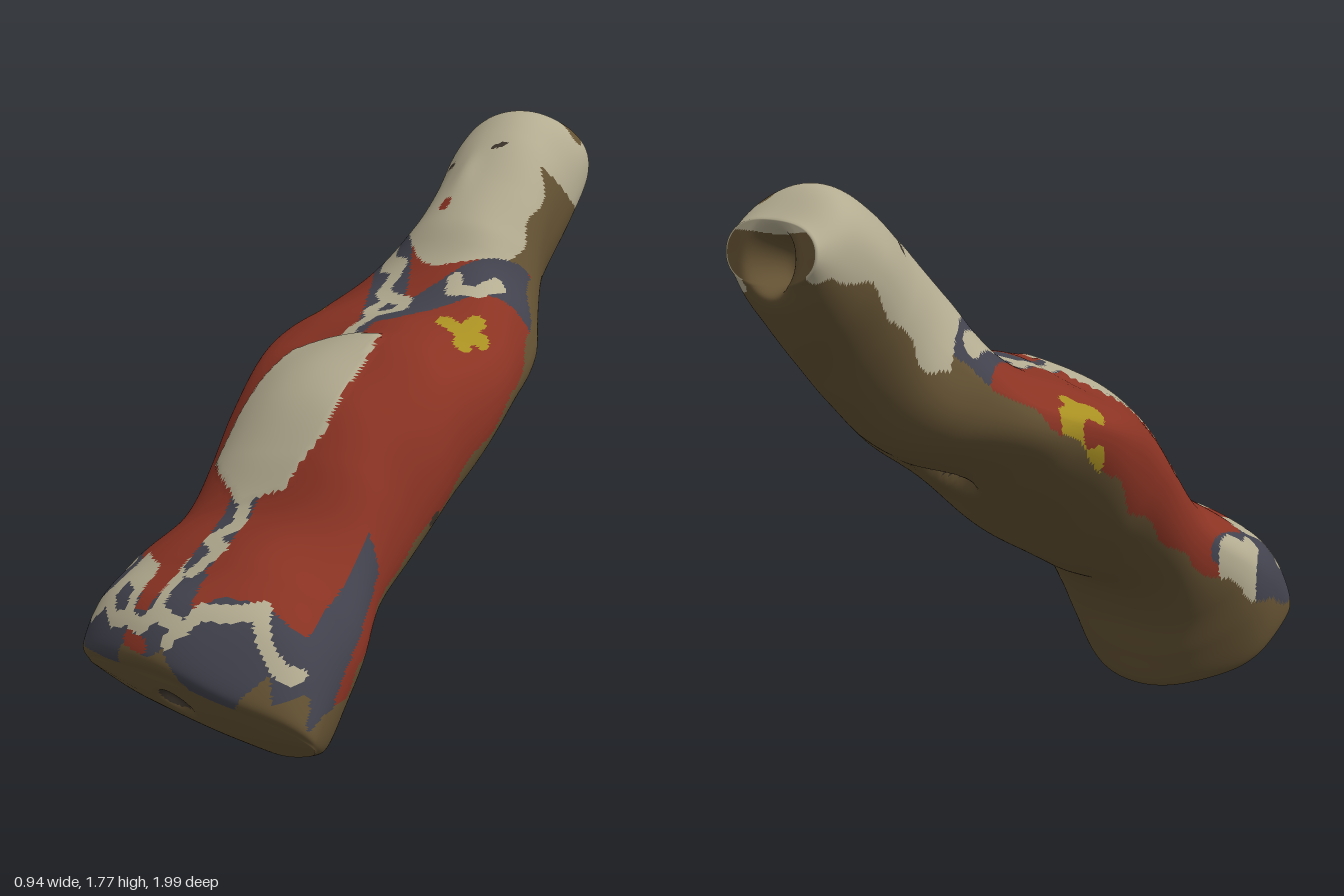
import * as THREE from 'three';

// Cross-sections from foot to crown: front z,y | back z,y | min x, max x, height of widest point
const SECTIONS = [
  [0.96, 0.38, 0.68, 0.03, -0.45, 0.39, 0.68],
  [1.00, 0.47, 0.59, 0.01, -0.47, 0.405, 0.65],
  [0.91, 0.63, 0.54, 0.13, -0.465, 0.41, 0.58],
  [0.77, 0.71, 0.50, 0.27, -0.43, 0.41, 0.53],
  [0.59, 0.81, 0.40, 0.40, -0.37, 0.38, 0.5],
  [0.47, 0.97, 0.22, 0.50, -0.36, 0.39, 0.5],
  [0.34, 1.11, 0.02, 0.60, -0.38, 0.43, 0.5],
  [0.17, 1.21, -0.18, 0.75, -0.41, 0.46, 0.5],
  [-0.02, 1.24, -0.35, 0.87, -0.41, 0.465, 0.5],
  [-0.19, 1.28, -0.49, 0.95, -0.37, 0.425, 0.5],
  [-0.33, 1.36, -0.61, 1.02, -0.26, 0.365, 0.5],
  [-0.42, 1.48, -0.72, 1.13, -0.16, 0.335, 0.5],
  [-0.54, 1.60, -0.81, 1.24, -0.13, 0.33, 0.5],
  [-0.68, 1.71, -0.90, 1.34, -0.125, 0.33, 0.5],
  [-0.83, 1.77, -0.96, 1.41, -0.11, 0.325, 0.5],
  [-0.97, 1.68, -0.99, 1.48, -0.08, 0.29, 0.5],
];
const LAST = SECTIONS.length - 1;
const curve = (f) => new THREE.CatmullRomCurve3(SECTIONS.map(f), false, 'catmullrom', 0.5);
const frontLine = curve((s) => new THREE.Vector3(0, s[1], s[0]));
const backLine = curve((s) => new THREE.Vector3(0, s[3], s[2]));
const widths = curve((s) => new THREE.Vector3(s[4], s[5], s[6]));

// Hollows: centre, inward direction, radius, depth, dark inside or not
const HOLLOWS = [
  [[0.05, 0.87, -0.36], [0, 0.75, 0.65], 0.08, 0.11, true],
  [[-0.10, 0.26, 0.885], [0, 0.6, -0.8], 0.055, 0.03, true],
  [[0.11, 1.56, -0.985], [0, -0.1, 1], 0.08, 0.12, false],
].map(([c, d, r, depth, dark]) => ({ c: new THREE.Vector3(...c), d: new THREE.Vector3(...d), r, depth, dark }));

// Painted shapes on the upper body, as x,z pairs seen from above
const APRON = [[-0.2, 0.12], [-0.1, 0.08], [0.12, 0.09], [0.14, 0.2], [0.13, 0.42], [0.06, 0.53],
  [-0.1, 0.56], [-0.23, 0.48], [-0.28, 0.43], [-0.24, 0.25]];
const COLLAR = [[[-0.2, -0.53], [-0.09, -0.3], [0, -0.1]], [[0.38, -0.42], [0.22, -0.28], [0.05, -0.08]]];
const SCROLLS = [
  [[-0.17, -0.47], [-0.14, -0.36], [-0.07, -0.33], [-0.08, -0.24], [-0.03, -0.2], [-0.06, -0.13], [-0.01, -0.07], [-0.03, 0.02], [-0.02, 0.1]],
  [[-0.03, -0.2], [0.04, -0.18], [0.06, -0.12], [0, -0.08]],
  [[0.3, -0.33], [0.27, -0.25], [0.19, -0.23], [0.17, -0.28]],
  [[-0.07, 0.56], [-0.05, 0.62], [-0.11, 0.67], [-0.04, 0.72], [-0.08, 0.8]],
  [[-0.38, 0.42], [-0.41, 0.52], [-0.4, 0.6], [-0.43, 0.66], [-0.4, 0.72]],
];
const FLOWERS = [
  [[-0.38, -0.28], [-0.36, -0.2], [-0.38, -0.15]], [[-0.36, -0.2], [-0.33, -0.22]],
  [[0.25, -0.08], [0.31, -0.07], [0.37, -0.09]], [[0.33, -0.14], [0.32, -0.07], [0.34, -0.03]],
];
const EYES = [[[-0.065, -0.64], [-0.04, -0.625]], [[0.11, -0.63], [0.145, -0.645]]];

// Hem details, as x,y pairs seen from the front
const HEM_SCROLLS = [
  [[-0.42, 0.46], [-0.35, 0.54], [-0.28, 0.51], [-0.22, 0.54], [-0.15, 0.54], [-0.11, 0.59], [0, 0.575],
    [0.03, 0.62], [0.13, 0.63], [0.2, 0.645], [0.24, 0.575], [0.29, 0.515], [0.34, 0.49]],
  [[-0.35, 0.54], [-0.32, 0.6], [-0.24, 0.61], [-0.22, 0.54]], [[-0.11, 0.59], [-0.12, 0.66]],
  [[-0.02, 0.575], [-0.04, 0.53]],
];
const HEM_TOP = [[-0.47, 0.6], [-0.3, 0.6], [-0.21, 0.6], [-0.2, 0.57], [-0.15, 0.58], [-0.12, 0.68], [-0.02, 0.68],
  [0, 0.62], [0.07, 0.66], [0.2, 0.66], [0.27, 0.62], [0.33, 0.58], [0.34, 0.7], [0.42, 0.72]];
const HEM_BOTTOM = [[-0.47, 0.42], [-0.42, 0.36], [-0.25, 0.38], [-0.21, 0.48], [-0.1, 0.47], [-0.05, 0.51], [0, 0.45],
  [0.02, 0.38], [0.18, 0.37], [0.23, 0.45], [0.28, 0.5], [0.3, 0.42], [0.36, 0.44], [0.42, 0.45]];

function near(x, z, line, r) {
  for (let i = 0; i + 1 < line.length; i++) {
    const [ax, az] = line[i], dx = line[i + 1][0] - ax, dz = line[i + 1][1] - az;
    const t = THREE.MathUtils.clamp(((x - ax) * dx + (z - az) * dz) / (dx * dx + dz * dz), 0, 1);
    if (Math.hypot(x - ax - t * dx, z - az - t * dz) < r) return true;
  }
  return false;
}

function inside(x, z, poly) {
  let hit = false;
  poly.forEach(([ax, az], i) => {
    const [bx, bz] = poly[(i + 1) % poly.length];
    if ((az > z) !== (bz > z) && x < ax + ((z - az) / (bz - az)) * (bx - ax)) hit = !hit;
  });
  return hit;
}

// Piecewise-linear lookup
function ramp(t, pts) {
  for (let i = 0; i + 1 < pts.length; i++) {
    const [a, av] = pts[i], [b, bv] = pts[i + 1];
    if (t <= b) return av + (bv - av) * THREE.MathUtils.clamp((t - a) / (b - a), 0, 1);
  }
  return pts[pts.length - 1][1];
}

// Which painted part a spot belongs to: s along the body, v from back (0) to front (1), k < 1 on end caps
function partAt({ x, y, z }, s, v, k, sunk) {
  if (sunk) return 'hollows';
  if (Math.hypot(x - 0.1, z - 0.25) < 0.022 && v < 0.3) return 'hollows';
  if (x > 0.3 && Math.hypot(y - 0.74, z - 0.24) < 0.025) return 'hollows';
  if (k < 0.999) return s > 1 && v > 0.8 ? 'head' : 'bareClay';

  const wobble = 0.025 * Math.sin(s * 5 + x * 3);
  const collarEdge = -0.32 - (x < 0.07 ? 4 : 2.2) * (x - 0.07) ** 2;
  if (z < collarEdge && s > 9.6) {
    const limit = x > 0.1
      ? ramp(s, [[10, 0.85], [11, 0.75], [12.2, 0.76], [12.6, 0.83], [12.85, 0.42], [13.2, 0.2], [14.5, 0.1]])
      : ramp(s, [[10, 0.55], [11, 0.33], [13, 0.4], [14.5, 0.2]]);
    if (v < limit + wobble) return 'bareClay';
    if (v > 0.5 && Math.hypot(x - 0.02, z + 0.465) < 0.018) return 'mouth';
    if (v > 0.5 && EYES.some((l) => near(x, z, l, 0.007))) return 'eyes';
    if (near(x, z, [[0.23, -0.88], [0.29, -0.87]], 0.025)) return 'bareClay';
    return 'head';
  }
  const limit = x > 0
    ? ramp(s, [[0, 0.92], [0.5, 0.86], [1, 0.72], [2, 0.47], [4, 0.4], [7, 0.44], [8.5, 0.53], [10, 0.63]])
    : ramp(s, [[0, 0.92], [0.5, 0.86], [1, 0.72], [2, 0.45], [4, 0.28], [7, 0.3], [8.5, 0.4], [10, 0.52]]);
  if (v < limit + wobble) return 'bareClay';
  if (inside(x, z, APRON)) return 'apron';
  if (FLOWERS.some((f) => near(x, z, f, 0.028))) return 'flowers';
  if (SCROLLS.some((l) => near(x, z, l, 0.025))) return 'scrolls';
  if (COLLAR.some((l) => near(x, z, l, 0.068))) return 'trim';
  if (near(x, z, [[0, -0.1], [-0.01, 0.07]], 0.045)) return 'trim';
  if (near(x, z, [[-0.08, 0.56], [-0.08, 0.76]], 0.052)) return 'trim';
  if (s < 3.2) {
    if (HEM_SCROLLS.some((l) => near(x, y, l, 0.02))) return 'scrolls';
    if (near(x, y, [[-0.19, 0.495], [-0.13, 0.495]], 0.022)) return 'robe';
    if (y < ramp(x, HEM_BOTTOM) && v > 0.75 && s < 1.5) return 'bareClay';
    if (y < ramp(x, HEM_TOP) && v > 0.6) return 'trim';
  }
  if (x > 0.34 && z > 0.5 && v > 0.58) return 'trim';
  if (x < -0.37 && z > 0.45 && v > 0.4) return 'trim';
  return 'robe';
}

export function createModel() {
  const COLS = 180, CAP = 30, BODY = 250, ROWS = CAP * 2 + BODY;
  const positions = [], info = [];
  const f = new THREE.Vector3(), b = new THREE.Vector3(), w = new THREE.Vector3();
  const p = new THREE.Vector3();

  // Skin of the figure: slightly domed foot, leaning body, blunt crown
  for (let i = 0; i <= ROWS; i++) {
    const t = THREE.MathUtils.clamp((i - CAP) / BODY, 0, 1), s = t * LAST;
    const k = Math.min(1, i / CAP, (ROWS - i) / CAP);
    const dome = i < CAP ? 0.03 * (1 - k * k) : 0;
    const tilt = ramp(s, [[1.5, 0], [4, 0.22], [10.5, 0.22], [12, 0.1], [14, 0.06], [15, 0]]);
    frontLine.getPoint(t, f); backLine.getPoint(t, b); widths.getPoint(t, w);
    const cx = (w.x + w.y) / 2, half = (w.y - w.x) / 2;
    for (let j = 0; j < COLS; j++) {
      const a = (j / COLS) * Math.PI * 2, c = Math.cos(a), n = Math.sin(a);
      // Round section, drawn to a blunt point under the foot
      const power = ramp(s, [[0, 1.12], [3, 0.95]]);
      const px = Math.sign(c) * Math.abs(c) ** power, pv = Math.sign(n) * Math.abs(n) ** power;
      const v = 0.5 + k * (w.z + pv * (pv > 0 ? 1 - w.z : w.z) - 0.5);
      p.lerpVectors(b, f, v);
      p.x = cx + k * half * px;
      p.y -= 0.78 * dome; p.z += 0.62 * dome;
      // Worn, hand-modelled unevenness
      const lump = 0.006 * k * (Math.sin(p.x * 13 + p.z * 9) + Math.sin(p.z * 17 - p.x * 7 + n * 2));
      p.y += lump * n; p.x += lump * c;
      // Front slumps to one side; ledge above the apron, and a small nose
      if (n > 0) {
        p.y += tilt * (p.x - 0.1) * n;
        if (inside(p.x, p.z, APRON)) p.y += 0.006;
        p.y -= 0.008 * Math.exp(-(((p.z - 0.05) / 0.03) ** 2) - ((p.x / 0.2) ** 2));
        p.y += 0.012 * Math.exp(-(((p.z + 0.55) / 0.06) ** 2) - (((p.x - 0.04) / 0.04) ** 2));
      }
      let sunk = false;
      for (const h of HOLLOWS) {
        const pull = Math.exp(-((p.distanceTo(h.c) / h.r) ** 4));
        if (h.dark && pull > 0.35) sunk = true;
        p.addScaledVector(h.d, h.depth * pull);
      }
      positions.push(p.x, Math.max(0, p.y), p.z);
      info.push([s, v, k, sunk]);
    }
  }

  // Sort the faces into painted parts
  const parts = {};
  const centre = new THREE.Vector3(), corner = new THREE.Vector3();
  const addFace = (...ids) => {
    centre.set(0, 0, 0);
    for (const id of ids) centre.add(corner.fromArray(positions, id * 3));
    const name = partAt(centre.divideScalar(3), ...info[ids[0]]);
    (parts[name] ??= []).push(...ids);
  };
  const index = [];
  for (let i = 0; i < ROWS; i++) {
    for (let j = 0; j < COLS; j++) {
      const a = i * COLS + j, d = i * COLS + ((j + 1) % COLS);
      for (const tri of [[a, a + COLS, d], [d, a + COLS, d + COLS]]) { addFace(...tri); index.push(...tri); }
    }
  }
  const skin = new THREE.BufferGeometry();
  skin.setAttribute('position', new THREE.Float32BufferAttribute(positions, 3));
  skin.setIndex(index);
  skin.computeVertexNormals();

  const paint = (name, color) => Object.assign(new THREE.MeshStandardMaterial({ color }), { name });
  const cream = paint('cream', 0xb4ac91), red = paint('brick red', 0x8a3323), clay = paint('brown clay', 0x645233);
  const slate = paint('slate', 0x41424d), ochre = paint('ochre', 0xa88f22), dark = paint('dark brown', 0x3c342b);
  const colours = { head: cream, apron: cream, scrolls: cream, robe: red, mouth: red, bareClay: clay,
    trim: slate, flowers: ochre, eyes: dark, hollows: dark };

  const group = new THREE.Group();
  group.name = 'leaningFigurine';
  for (const [name, faces] of Object.entries(parts)) {
    const shared = new THREE.BufferGeometry();
    shared.setAttribute('position', skin.getAttribute('position'));
    shared.setAttribute('normal', skin.getAttribute('normal'));
    shared.setIndex(faces);
    const mesh = new THREE.Mesh(shared.toNonIndexed(), colours[name]);
    mesh.name = name;
    group.add(mesh);
  }
  return group;
}
